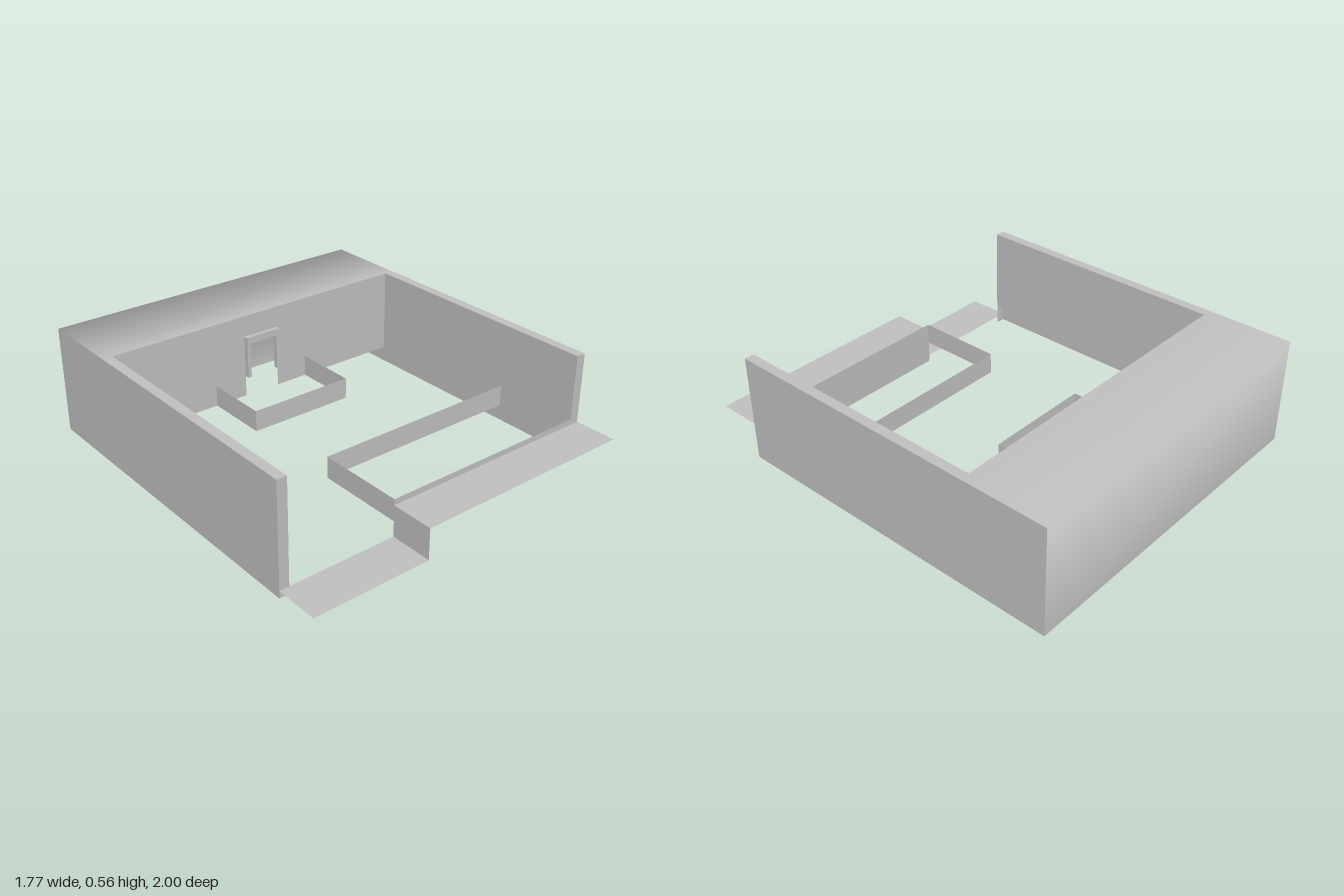
import * as THREE from 'three';

const W = 0.885;      // outer half width
const IN = 0.835;     // inner face of the side wings
const H = 0.555;      // building height
const BACK = -1;
const COURT = -0.56;  // courtyard face of the rear wing
const FRONT = 0.78;   // front boundary
const LOW = 0.115;    // lower courtyard level
const HIGH = 0.225;   // raised terrace level
const STEP = -0.28;   // x where the street level changes

export function createModel() {
  const group = new THREE.Group();
  const grey = new THREE.MeshStandardMaterial({ color: 0xbfbfbf, side: THREE.DoubleSide });
  grey.name = 'plain grey';

  const add = (name, geometry) => {
    const mesh = new THREE.Mesh(geometry, grey);
    mesh.name = name;
    group.add(mesh);
    return mesh;
  };

  // Thin panels facing front, side and up
  const frontPanel = (name, x0, x1, y0, y1, z) =>
    add(name, new THREE.PlaneGeometry(x1 - x0, y1 - y0)
      .translate((x0 + x1) / 2, (y0 + y1) / 2, z));
  const sidePanel = (name, x, y0, y1, z0, z1, dir) =>
    add(name, new THREE.PlaneGeometry(z1 - z0, y1 - y0)
      .rotateY(dir * Math.PI / 2).translate(x, (y0 + y1) / 2, (z0 + z1) / 2));
  const flatPanel = (name, x0, x1, y, z0, z1) =>
    add(name, new THREE.PlaneGeometry(x1 - x0, z1 - z0)
      .rotateX(-Math.PI / 2).translate((x0 + x1) / 2, y, (z0 + z1) / 2));

  // Rear wall and roof, softly shaded across their shared edge
  const profile = [
    [0, BACK, 0, -1],
    [H, BACK, Math.SQRT1_2, -Math.SQRT1_2],
    [H, COURT, 1, 0],
  ];
  const position = [], normal = [], index = [];
  profile.forEach(([y, z, ny, nz], i) => {
    for (const x of [-W, W]) {
      position.push(x, y, z);
      normal.push(0, ny, nz);
    }
    if (i > 0) {
      const a = 2 * i - 2;
      index.push(a, a + 2, a + 1, a + 1, a + 2, a + 3);
    }
  });
  const shell = new THREE.BufferGeometry();
  shell.setAttribute('position', new THREE.Float32BufferAttribute(position, 3));
  shell.setAttribute('normal', new THREE.Float32BufferAttribute(normal, 3));
  shell.setIndex(index);
  add('rearWallAndRoof', shell);

  // Side wings: outer face, inner face, coping and front end
  for (const s of [-1, 1]) {
    const side = s > 0 ? 'left' : 'right';
    const x0 = Math.min(s * IN, s * W), x1 = Math.max(s * IN, s * W);
    sidePanel(side + 'OuterWall', s * W, 0, H, BACK, FRONT, s);
    sidePanel(side + 'InnerWall', s * IN, LOW, H, COURT, FRONT, -s);
    flatPanel(side + 'WallTop', x0, x1, H, COURT, FRONT);
    frontPanel(side + 'WallEnd', x0, x1, 0, H, FRONT);
  }

  // Courtyard wall with the doorway cut out
  const wall = new THREE.Shape([
    [-IN, LOW], [-0.1, LOW], [-0.1, HIGH], [-0.08, HIGH], [-0.08, 0.41],
    [0.08, 0.41], [0.08, HIGH], [0.1, HIGH], [0.1, LOW], [IN, LOW], [IN, H], [-IN, H],
  ].map(p => new THREE.Vector2(...p)));
  add('courtyardWall', new THREE.ShapeGeometry(wall).translate(0, 0, COURT));

  // Door frame
  const frame = new THREE.Shape([
    [-0.1, HIGH], [-0.08, HIGH], [-0.08, 0.41], [0.08, 0.41],
    [0.08, HIGH], [0.1, HIGH], [0.1, 0.445], [-0.1, 0.445],
  ].map(p => new THREE.Vector2(...p)));
  add('doorFrame', new THREE.ExtrudeGeometry(frame, { depth: 0.025, bevelEnabled: false })
    .translate(0, 0, COURT));

  // Low retaining walls round the porch
  for (const s of [-1, 1]) sidePanel('porchSide', s * 0.28, LOW, HIGH, COURT, -0.22, s);
  frontPanel('porchFront', -0.28, 0.28, LOW, HIGH, -0.22);

  // Front terrace walls
  frontPanel('terraceFront', STEP, W - 0.05, 0, HIGH, FRONT);
  frontPanel('terraceRear', STEP, IN, LOW, HIGH, 0.33);
  sidePanel('terraceSide', STEP, LOW, HIGH, 0.33, FRONT, -1);

  // Street pavement in two levels with a riser between
  flatPanel('lowerPavement', -W, STEP, 0.037, FRONT, 1);
  flatPanel('upperPavement', STEP, W, 0.195, FRONT, 1);
  sidePanel('pavementRiser', STEP, 0.037, 0.195, FRONT, 1, -1);

  return group;
}
